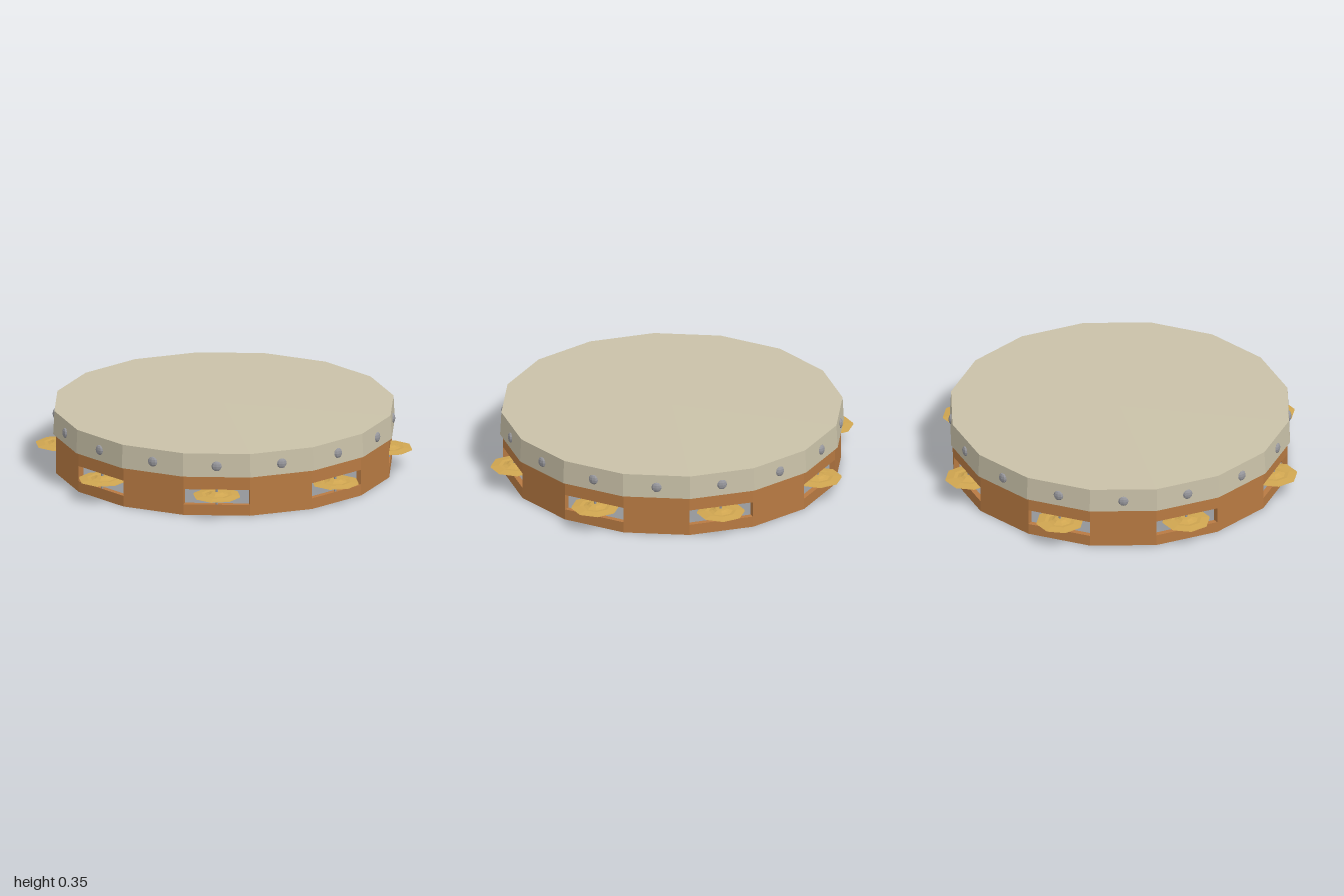
import * as THREE from 'three';

const SIDES = 16, STEP = (Math.PI * 2) / SIDES;
const OUTER = 0.915, INNER = 0.885;
const SLOT_LOW = 0.06, SLOT_HIGH = 0.145;

const material = (color) => new THREE.MeshStandardMaterial({ color, flatShading: true });
const wood = material(0xb87a42), skin = material(0xc9c1a8);
const brass = material(0xcfa550), metal = material(0x97979c);

function add(parent, name, geometry, mat) {
  const mesh = new THREE.Mesh(geometry, mat);
  mesh.name = name;
  parent.add(mesh);
  return mesh;
}

function lathe(points, sides = SIDES) {
  return new THREE.LatheGeometry(points.map(([r, y]) => new THREE.Vector2(r, y)), sides);
}

// One flat wall panel of the rim, between two neighbouring corners
function wallPanel(a0, a1, low, high) {
  const at = (r, a) => new THREE.Vector2(r * Math.sin(a), -r * Math.cos(a));
  const shape = new THREE.Shape([at(INNER, a0), at(OUTER, a0), at(OUTER, a1), at(INNER, a1)]);
  const geometry = new THREE.ExtrudeGeometry(shape, { depth: high - low, bevelEnabled: false });
  return geometry.rotateX(-Math.PI / 2).translate(0, low, 0);
}

// A pair of small cymbals back to back on an upright pin
function createJingle() {
  const jingle = new THREE.Group();
  jingle.name = 'jingle';
  const profile = [[0.13, 0.003], [0.085, 0.008], [0.065, 0.006], [0.045, 0.011], [0.03, 0.018], [0, 0.02]];
  const upper = lathe([[0, 0.001], ...profile], 8);
  add(jingle, 'upperCymbal', upper, brass);
  add(jingle, 'lowerCymbal', upper.clone().rotateX(Math.PI), brass);
  const middle = (SLOT_LOW + SLOT_HIGH) / 2;
  const pin = add(jingle, 'pin', new THREE.CylinderGeometry(0.007, 0.007, SLOT_HIGH - SLOT_LOW, 6), metal);
  pin.position.y = middle - 0.11;
  return jingle;
}

export function createModel() {
  const model = new THREE.Group();
  model.name = 'tambourine';

  // Wooden rim: lower hoop, upper hoop closed by the underside of the head
  add(model, 'lowerHoop', lathe([
    [INNER, 0], [OUTER, 0], [OUTER, SLOT_LOW], [INNER, SLOT_LOW], [INNER, 0],
  ]), wood);
  add(model, 'upperHoop', lathe([
    [0, 0.3], [INNER, 0.3], [INNER, SLOT_HIGH], [OUTER, SLOT_HIGH], [OUTER, 0.34],
  ]), wood);

  // Drum head with its band folded over the rim
  add(model, 'drumHead', lathe([
    [0.9, 0.22], [0.93, 0.22], [0.923, 0.35], [0, 0.353],
  ]), skin);

  for (let i = 0; i < SIDES; i++) {
    const angle = (i + 0.5) * STEP;

    // Rivet on every panel of the band
    const rivet = add(model, 'rivet', new THREE.SphereGeometry(0.028, 8, 6), metal);
    rivet.scale.z = 0.5;
    rivet.position.set(0.909 * Math.sin(angle), 0.28, 0.909 * Math.cos(angle));
    rivet.rotation.y = angle;

    // Panels alternate between an open slot with a jingle and a solid wall
    if (i % 2 === 0) {
      const jingle = createJingle();
      jingle.position.set(0.887 * Math.sin(angle), 0.11, 0.887 * Math.cos(angle));
      model.add(jingle);
    } else {
      add(model, 'wallPanel', wallPanel(i * STEP, (i + 1) * STEP, SLOT_LOW, SLOT_HIGH), wood);
    }
  }
  return model;
}
